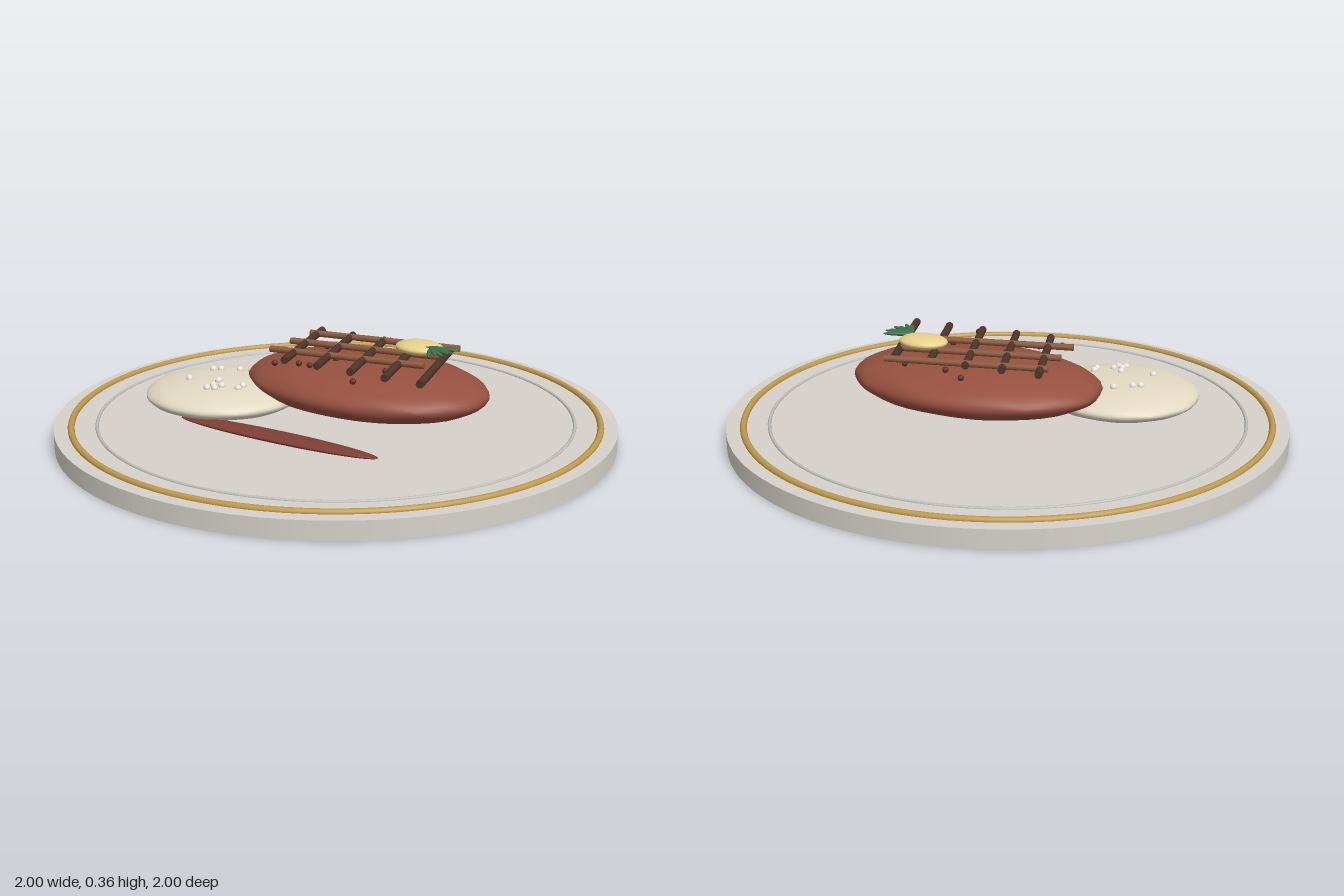
import * as THREE from 'three';

const mat = (color) => new THREE.MeshStandardMaterial({ color });
const MATS = {
  plate: mat(0xd6d2ca), gold: mat(0xc09a4c), silver: mat(0xbdbdb9), steak: mat(0x96503f),
  mash: mat(0xe2d8c2), sauce: mat(0x7f3f35), darkBar: mat(0x4d3529), lightBar: mat(0x8c5a3c),
  butter: mat(0xe8d088), herb: mat(0x3f6f4a), salt: mat(0xebe6dc), pepper: mat(0x5a3229),
};

function add(parent, name, geometry, material, x = 0, y = 0, z = 0) {
  const mesh = new THREE.Mesh(geometry, material);
  mesh.name = name;
  mesh.position.set(x, y, z);
  parent.add(mesh);
  return mesh;
}

// Ellipsoid whose surface ripples slightly by a smooth rule
function ellipsoid(rx, ry, rz, bump = 0) {
  const g = new THREE.SphereGeometry(1, 48, 32);
  const p = g.attributes.position;
  const v = new THREE.Vector3();
  for (let i = 0; i < p.count; i++) {
    v.fromBufferAttribute(p, i);
    const k = 1 + bump * Math.sin(v.x * 9 + 1) * Math.cos(v.z * 8) * Math.cos(v.y * 7);
    p.setXYZ(i, v.x * k * rx, v.y * k * ry, v.z * k * rz);
  }
  g.computeVertexNormals();
  return g;
}

// Round bar between two points
function bar(parent, name, a, b, radius, material) {
  const from = new THREE.Vector3(...a), to = new THREE.Vector3(...b);
  const dir = to.clone().sub(from);
  const mesh = add(parent, name, new THREE.CylinderGeometry(radius, radius, dir.length(), 10), material);
  mesh.position.copy(from).add(to).multiplyScalar(0.5);
  mesh.quaternion.setFromUnitVectors(new THREE.Vector3(0, 1, 0), dir.normalize());
}

function ring(parent, name, radius, tube, y, material) {
  add(parent, name, new THREE.TorusGeometry(radius, tube, 10, 96), material, 0, y, 0).rotation.x = Math.PI / 2;
}

export function createModel() {
  const model = new THREE.Group();
  model.name = 'platedSteak';

  // Plate with rim bands
  add(model, 'plate', new THREE.CylinderGeometry(1, 1, 0.066, 96), MATS.plate, 0, 0.033, 0);
  ring(model, 'goldRim', 0.94, 0.012, 0.068, MATS.gold);
  ring(model, 'innerRim', 0.85, 0.006, 0.066, MATS.silver);

  // Main food pieces
  add(model, 'steak', ellipsoid(0.462, 0.094, 0.31, 0.012), MATS.steak, 0.105, 0.19, -0.04);
  add(model, 'mash', ellipsoid(0.28, 0.059, 0.272, 0.01), MATS.mash, -0.37, 0.135, 0.175);
  add(model, 'sauce', ellipsoid(0.4, 0.015, 0.047), MATS.sauce, 0.02, 0.104, 0.408);

  // Crossed grill bars
  const grill = new THREE.Group();
  grill.name = 'grillBars';
  for (let i = 0; i < 5; i++) {
    const x = -0.2 + i * 0.135;
    bar(grill, 'darkBar', [x, 0.302, -0.22], [x + 0.11, 0.302, 0.195], 0.014, MATS.darkBar);
  }
  for (let i = 0; i < 3; i++) {
    const z = -0.155 + i * 0.13;
    bar(grill, 'lightBar', [-0.21, 0.305, z], [0.36, 0.305, z - 0.102], 0.012, MATS.lightBar);
  }
  model.add(grill);

  // Butter and herb sprig
  add(model, 'butter', ellipsoid(0.09, 0.024, 0.068), MATS.butter, 0.28, 0.333, -0.108);
  const sprig = new THREE.Group();
  sprig.name = 'herbSprig';
  for (let i = 0; i < 7; i++) {
    const angle = -0.3 + i * 0.24;
    const leaf = add(sprig, 'herbLeaf', ellipsoid(0.055, 0.007, 0.009), MATS.herb,
      0.345 + Math.cos(angle) * 0.04, 0.345 + (i % 2) * 0.004, -0.08 + Math.sin(angle) * 0.055);
    leaf.rotation.y = -angle;
  }
  bar(sprig, 'herbStem', [0.29, 0.344, -0.065], [0.42, 0.346, -0.1], 0.006, MATS.herb);
  model.add(sprig);

  // Salt grains resting on the mash
  const salt = [[-0.46, 0.115], [-0.435, 0.1], [-0.375, 0.065], [-0.33, 0.055], [-0.465, 0.25], [-0.35, 0.23],
    [-0.25, 0.22], [-0.25, 0.25], [-0.345, 0.305], [-0.32, 0.295], [-0.31, 0.265], [-0.34, 0.275]];
  for (const [x, z] of salt) {
    const d = ((x + 0.37) / 0.28) ** 2 + ((z - 0.175) / 0.272) ** 2;
    add(model, 'saltGrain', new THREE.SphereGeometry(0.013, 10, 8), MATS.salt, x, 0.137 + 0.059 * Math.sqrt(1 - d), z);
  }

  // Pepper grains scattered over the steak
  const pepper = [[0.055, -0.29], [-0.14, 0.18], [-0.065, 0.14], [0.21, 0.225], [-0.02, 0.14], [0.14, -0.23],
    [0.3, -0.22], [-0.1, -0.1], [0.02, 0.03], [0.24, 0.06]];
  for (const [x, z] of pepper) {
    add(model, 'pepperGrain', new THREE.SphereGeometry(0.011, 10, 8), MATS.pepper, x, 0.282, z);
  }
  return model;
}
